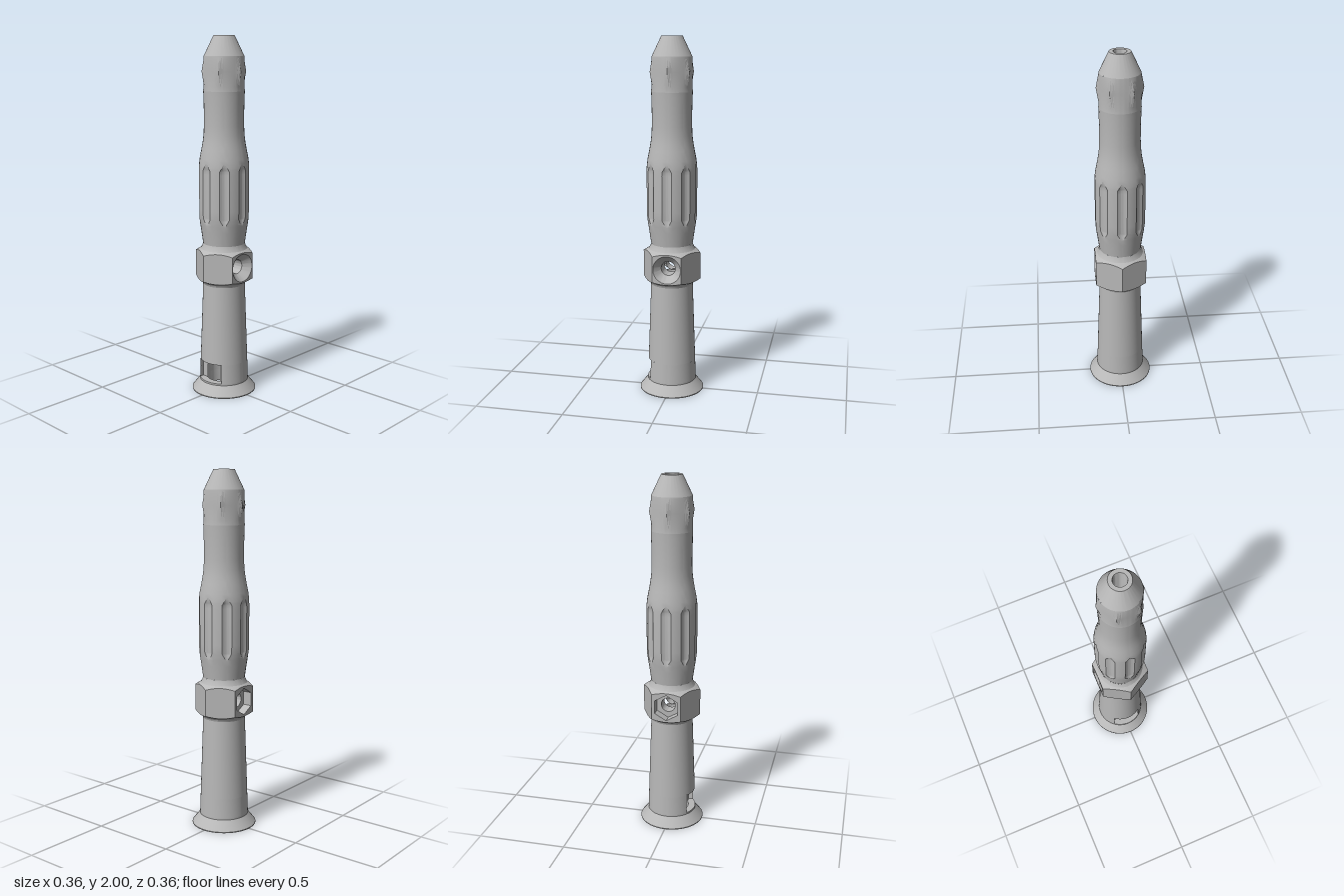
import * as THREE from 'three';
import { toCreasedNormals } from 'three/addons/utils/BufferGeometryUtils.js';

const { sin, cos, asin, hypot, min, max, PI } = Math;
const clamp01 = (v) => min(1, max(0, v));
const V = (x, y) => new THREE.Vector2(x, y);
const steel = new THREE.MeshStandardMaterial({ color: 0xb8b8b8 });
steel.name = 'satin steel';

function add(parent, name, geometry) {
  const mesh = new THREE.Mesh(geometry, steel);
  mesh.name = name;
  parent.add(mesh);
  return mesh;
}

// Turned surface from [radius, y] points: upward faces outward, downward faces inward
function turned(points, segments = 64, start = 0, length = 2 * PI) {
  const g = new THREE.LatheGeometry(points.map(([r, y]) => V(r, y)), segments, start, length);
  return toCreasedNormals(g, 0.45);
}

// Skin through rows of rings; ring(row, column) gives [radius, angle, y]
function loft(rows, columns, ring) {
  const pos = [], index = [];
  for (let i = 0; i < rows; i++) {
    for (let j = 0; j <= columns; j++) {
      const [r, a, y] = ring(i, j);
      pos.push(r * sin(a), y, r * cos(a));
      if (i < rows - 1 && j < columns) {
        const p = i * (columns + 1) + j, q = p + columns + 1;
        index.push(p, p + 1, q, p + 1, q + 1, q);
      }
    }
  }
  const g = new THREE.BufferGeometry();
  g.setAttribute('position', new THREE.Float32BufferAttribute(pos, 3));
  g.setIndex(index);
  return toCreasedNormals(g, 0.35);
}

// Radius of a regular hexagon with a corner at angle 0
const hexRadius = (apothem, a) => apothem / cos((((a % (PI / 3)) + PI / 3) % (PI / 3)) - PI / 6);
const hexPoints = (r) => Array.from({ length: 6 }, (_, k) => V(r * sin(k * PI / 3), r * cos(k * PI / 3)));
const circlePath = (r) => new THREE.Path().absarc(0, 0, r, 0, 2 * PI, true);

// Lower barrel with a flared foot and a window cut into the front
function lowerBarrel() {
  const group = new THREE.Group();
  group.name = 'lowerBarrel';
  const bore = 0.097, half = 0.085, slot = 0.05, depth = 0.083, y0 = 0.07, y1 = 0.18;
  const r0 = 0.138, r1 = 0.134;
  const a = asin(half / r0), b = asin(slot / bore);
  add(group, 'foot', turned([[bore, 0], [0.182, 0], [0.182, 0.005], [0.138, 0.06], [r0, y0]]));
  add(group, 'windowBand', turned([[r0, y0], [r1, y1]], 56, a, 2 * PI - 2 * a));
  add(group, 'barrelTube', turned([[r1, y1], [0.118, 0.628]]));
  add(group, 'boreFoot', turned([[bore, y0], [bore, 0]]));
  add(group, 'boreBand', turned([[bore, y1], [bore, y0]], 56, b, 2 * PI - 2 * b));
  add(group, 'boreUpper', turned([[0.035, 0.7], [0.035, 0.6], [bore, 0.55], [bore, y1]]));

  // Window sill and lintel
  const ledge = (r) => {
    const pts = [], e = asin(half / r);
    for (let i = 0; i <= 12; i++) pts.push(V(r * sin(e - e * i / 6), r * cos(e - e * i / 6)));
    pts.push(V(-half, depth));
    for (let i = 0; i <= 12; i++) pts.push(V(bore * sin(b * i / 6 - b), bore * cos(b * i / 6 - b)));
    pts.push(V(half, depth));
    return new THREE.ShapeGeometry(new THREE.Shape(pts));
  };
  add(group, 'windowLintel', ledge(r1).rotateX(PI / 2).translate(0, y1, 0));
  add(group, 'windowSill', ledge(r0).rotateX(-PI / 2).rotateY(PI).translate(0, y0, 0));

  // Window cheeks and the flats behind them
  const h = y1 - y0, yc = (y0 + y1) / 2, w = 0.109 - depth;
  for (const s of [-1, 1]) {
    add(group, 'windowCheek', new THREE.PlaneGeometry(w, h).rotateY(-s * PI / 2))
      .position.set(s * half, yc, depth + w / 2);
    add(group, 'windowFlat', new THREE.PlaneGeometry(half - slot, h))
      .position.set(s * (half + slot) / 2, yc, depth);
  }
  return group;
}

// Hexagonal collar with a countersunk hole on one side and a hexagonal pocket opposite
function collar() {
  const group = new THREE.Group();
  group.name = 'hexCollar';
  const ap = 0.142, side = ap / Math.sqrt(3), yc = 0.738;
  const top = (r) => 0.824 - 0.6 * (r - ap), bottom = (r) => 0.652 + 0.5 * (r - ap);
  const angle = (j) => j * 2 * PI / 96;

  // Chamfers running from the round necks into the hexagon
  const chamfer = (rings, edge, flip) => loft(rings.length + 1, 96, (i, j) => {
    const a = angle(j), R = hexRadius(ap, a);
    const k = flip ? i - 1 : i;
    return k < 0 || k >= rings.length ? [R, a, edge(R)] : [rings[k][0], a, rings[k][1]];
  });
  add(group, 'lowerChamfer', chamfer([[0.118, 0.628], [0.122, 0.638], [0.132, 0.648]], bottom, false));
  add(group, 'upperChamfer', chamfer([[0.13, 0.832], [0.122, 0.846], [0.117, 0.862]], top, true));

  for (let k = 0; k < 6; k++) {
    const pts = [];
    for (let i = 0; i <= 16; i++) {
      const x = side * (i / 8 - 1);
      pts.push(V(x, bottom(hypot(ap, x)) - yc));
    }
    for (let i = 16; i >= 0; i--) {
      const x = side * (i / 8 - 1);
      pts.push(V(x, top(hypot(ap, x)) - yc));
    }
    const face = new THREE.Shape(pts);
    if (k === 1) face.holes.push(circlePath(0.078));
    if (k === 4) face.holes.push(new THREE.Path(hexPoints(0.075)));
    const panel = new THREE.Group();
    panel.name = 'collarSide';
    panel.position.y = yc;
    panel.rotation.y = PI / 6 + k * PI / 3;
    group.add(panel);
    add(panel, 'collarFace', new THREE.ShapeGeometry(face, 24).translate(0, 0, ap));
    if (k === 1) {
      add(panel, 'countersink', turned([[0.078, ap], [0.04, 0.1], [0.04, 0.02]], 48).rotateX(PI / 2));
    }
    if (k === 4) {
      add(panel, 'nutPocket', turned([[0.075, ap], [0.075, 0.09]], 6).rotateX(PI / 2));
      const floor = new THREE.Shape(hexPoints(0.075));
      floor.holes.push(circlePath(0.04));
      add(panel, 'pocketFloor', new THREE.ShapeGeometry(floor, 24).translate(0, 0, 0.09));
      add(panel, 'crossHole', turned([[0.04, 0.09], [0.04, 0.02]], 48).rotateX(PI / 2));
    }
  }
  return group;
}

// Swelling grip with eight shallow flutes
function grip() {
  const profile = [[0.862, 0.117], [0.89, 0.121], [0.94, 0.128], [0.985, 0.135], [1.02, 0.139], [1.06, 0.14],
    [1.26, 0.14], [1.3, 0.139], [1.34, 0.134], [1.39, 0.124], [1.43, 0.117], [1.47, 0.112], [1.52, 0.11],
    [1.6, 0.11], [1.68, 0.112], [1.705, 0.113]];
  const radius = (y) => {
    const i = max(1, profile.findIndex((p) => p[0] >= y));
    const [[ya, ra], [yb, rb]] = [profile[i - 1], profile[i]];
    return ra + (rb - ra) * (y - ya) / (yb - ya);
  };
  const ys = [...profile.map((p) => p[0]), 0.975, 0.995, 1.005, 1.015, 1.28, 1.29, 1.32].sort((a, b) => a - b);
  const per = 14, flute = 10;
  return loft(ys.length, 8 * per, (i, j) => {
    const y = ys[i], r = radius(y);
    const f = clamp01(min(y - 0.975, 1.32 - y) / 0.04);
    const w = (0.027 / 0.14) * (0.15 + 0.85 * f);
    const k = j % per, centre = Math.floor(j / per) * PI / 4;
    if (k <= flute) {
      const t = 2 * k / flute - 1;
      return [r - 0.011 * f * (1 - t * t), centre + t * w, y];
    }
    return [r, centre + w + (PI / 4 - 2 * w) * (k - flute) / (per - flute), y];
  });
}

// Six-pointed head: round rings above and below a hexagonal waist
function head() {
  const rows = [[0.113, 1.705], [0.111, 1.73], [0, 1.81], [0.11, 1.885], [0.109, 1.892]];
  return loft(rows.length, 96, (i, j) => {
    const a = j * 2 * PI / 96, [r, y] = rows[i];
    return [r || hexRadius(0.1085, a - PI / 6), a, y];
  });
}

export function createModel() {
  const model = new THREE.Group();
  model.name = 'flutedTool';
  model.add(lowerBarrel(), collar());
  add(model, 'flutedGrip', grip());
  add(model, 'pointedHead', head());
  // Tapered nose with the central bore running down from its tip
  add(model, 'nose', turned([[0.109, 1.892], [0.057, 2], [0.036, 2]]));
  add(model, 'noseBore', turned([[0.036, 2], [0.034, 1.99], [0.034, 0.776]], 48));
  return model;
}
